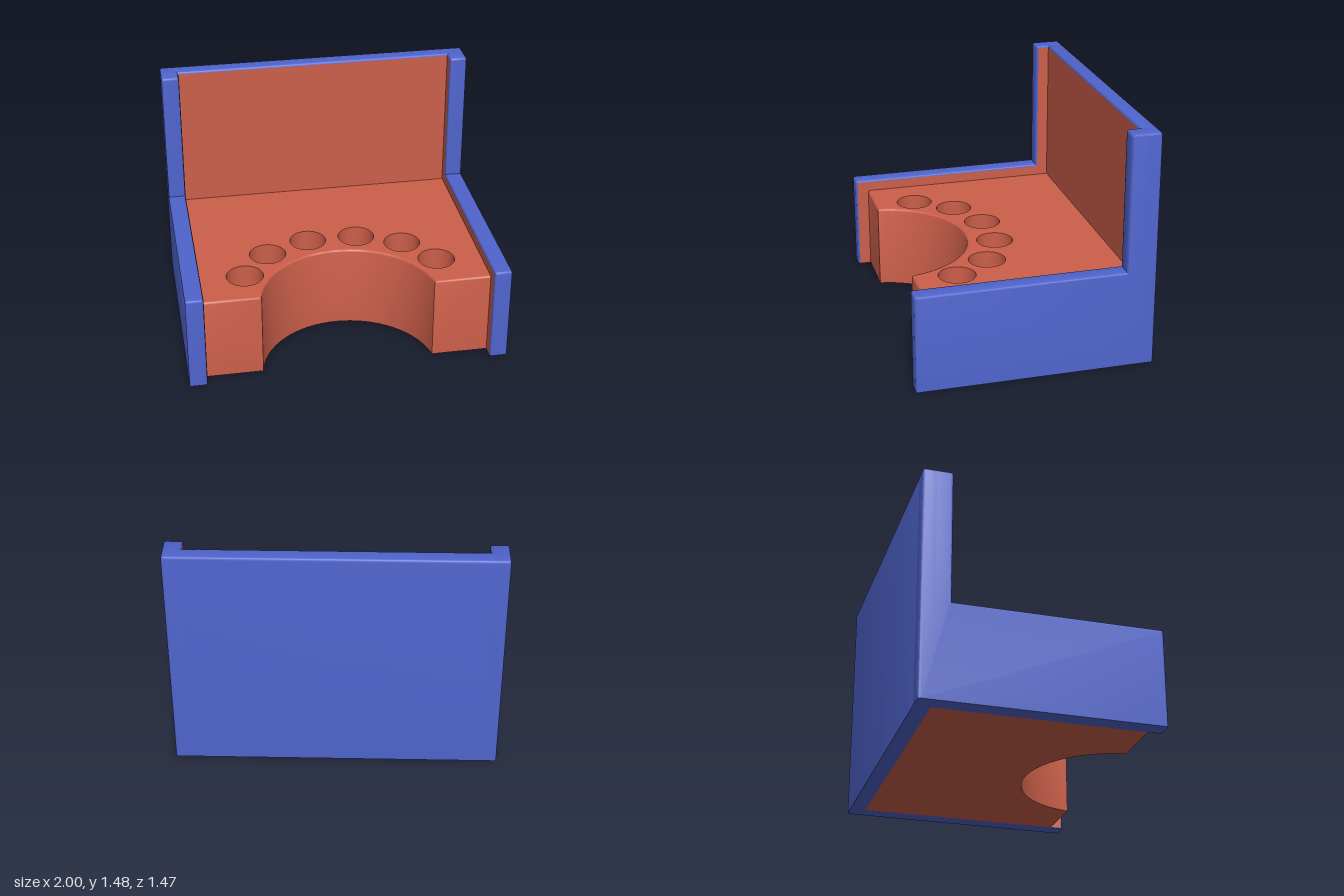
import * as THREE from 'three';
import { toCreasedNormals } from 'three/addons/utils/BufferGeometryUtils.js';

const BLUE = new THREE.MeshStandardMaterial({ color: 0x4f64cc });
const RED = new THREE.MeshStandardMaterial({ color: 0xcc5f4a });
const RED_SHEET = new THREE.MeshStandardMaterial({ color: 0xcc5f4a, side: THREE.DoubleSide });
const RED_INSIDE = new THREE.MeshStandardMaterial({ color: 0xcc5f4a, side: THREE.BackSide });

const R = 0.013; // edge rounding
const TOP = 1.475, BACK = -0.735, FRONT = 0.735, INNER = 0.89, PANEL_FRONT = -0.635;
const DESK_TOP = 0.54, DESK_FRONT = 0.65, BITE_R = 0.541;

function addMesh(parent, name, geometry, material) {
  const mesh = new THREE.Mesh(geometry, material);
  mesh.name = name;
  parent.add(mesh);
  return mesh;
}

// Closed outline with rounded convex corners (points run counter-clockwise)
function roundedShape(points, radius) {
  const shape = new THREE.Shape();
  const v = points.map(([x, y]) => new THREE.Vector2(x, y));
  v.forEach((p, i) => {
    const a = v[(i + v.length - 1) % v.length], b = v[(i + 1) % v.length];
    const r = p.clone().sub(a).cross(b.clone().sub(p)) > 0 ? radius : 0;
    const s = p.clone().add(a.clone().sub(p).setLength(r));
    const e = p.clone().add(b.clone().sub(p).setLength(r));
    if (i === 0) shape.moveTo(s.x, s.y); else shape.lineTo(s.x, s.y);
    if (r) shape.quadraticCurveTo(p.x, p.y, e.x, e.y);
  });
  shape.closePath();
  return shape;
}

// Side profile (z, y) extruded along x, rounded on all edges but the flat base
function panel(points, width) {
  const geo = new THREE.ExtrudeGeometry(roundedShape(points, R * 1.4), {
    depth: width - 2 * R, bevelSize: R, bevelThickness: R, bevelOffset: -R,
    bevelSegments: 3, curveSegments: 4,
  });
  geo.translate(0, 0, R - width / 2);
  const pos = geo.attributes.position;
  for (let i = 0; i < pos.count; i++) pos.setY(i, Math.max(0, pos.getY(i)));
  geo.rotateY(-Math.PI / 2);
  return toCreasedNormals(geo, 0.6);
}

// Desk plan in (x, -z), with its front edge and round cut-out set back by d
function deskOutline(d) {
  const front = d - DESK_FRONT, r = BITE_R + d, cy = -0.731;
  const a = Math.asin((front - cy) / r), n = 32;
  const pts = [new THREE.Vector2(-INNER, front)];
  for (let i = 0; i <= n; i++) {
    const t = Math.PI - a - (Math.PI - 2 * a) * i / n;
    pts.push(new THREE.Vector2(r * Math.cos(t), cy + r * Math.sin(t)));
  }
  pts.push(new THREE.Vector2(INNER, front), new THREE.Vector2(INNER, -PANEL_FRONT),
    new THREE.Vector2(-INNER, -PANEL_FRONT));
  return pts;
}

function deskSides() {
  const rings = [{ d: 0, y: 0 }];
  for (let i = 0; i <= 3; i++) {
    const t = i / 3 * Math.PI / 2;
    rings.push({ d: R * (1 - Math.cos(t)), y: DESK_TOP - R + R * Math.sin(t) });
  }
  const pos = [], idx = [];
  const n = deskOutline(0).length;
  rings.forEach(({ d, y }) => deskOutline(d).forEach(p => pos.push(p.x, y, -p.y)));
  for (let k = 0; k < rings.length - 1; k++) {
    for (let i = 0; i < n; i++) {
      const j = (i + 1) % n, a = k * n, b = a + n;
      idx.push(a + i, a + j, b + j, a + i, b + j, b + i);
    }
  }
  const geo = new THREE.BufferGeometry();
  geo.setAttribute('position', new THREE.Float32BufferAttribute(pos, 3));
  geo.setIndex(idx);
  return toCreasedNormals(geo, 0.6);
}

export function createModel() {
  const model = new THREE.Group();
  model.name = 'deskStation';

  // Blue shell: stepped side walls and tall back panel
  const wallProfile = (inset, base) => [
    [BACK + inset, base], [FRONT - inset, base], [FRONT - inset, 0.615 - inset],
    [-0.55 - inset, 0.615 - inset], [-0.55 - inset, TOP - inset], [BACK + inset, TOP - inset],
  ];
  for (const [side, name] of [[1, 'left'], [-1, 'right']]) {
    addMesh(model, name + 'Wall', panel(wallProfile(0, -0.06), 1 - INNER), BLUE)
      .position.x = side * (1 + INNER) / 2;
    // Red lining on the inner face
    const lining = new THREE.ShapeGeometry(roundedShape(wallProfile(R, 0), 0));
    lining.rotateY(-Math.PI / 2);
    addMesh(model, name + 'WallLining', lining, RED_SHEET).position.x = side * (INNER - 0.002);
  }
  addMesh(model, 'backPanel',
    panel([[BACK, -0.06], [PANEL_FRONT, -0.06], [PANEL_FRONT, TOP], [BACK, TOP]], 2), BLUE);
  const backLining = new THREE.PlaneGeometry(2 * INNER, TOP - R);
  addMesh(model, 'backLining', backLining, RED_SHEET)
    .position.set(0, (TOP - R) / 2, PANEL_FRONT + 0.002);

  // Red desk with a round cut-out and six cup holes
  const desk = new THREE.Group();
  desk.name = 'desk';
  model.add(desk);
  const holeR = 0.115, holeDepth = 0.3;
  const topShape = new THREE.Shape(deskOutline(R));
  for (const side of [-1, 1]) {
    for (const [x, z] of [[0.157, 0.033], [0.433, 0.157], [0.605, 0.388]]) {
      topShape.holes.push(new THREE.Path().absarc(side * x, -z, holeR, 0, Math.PI * 2, true));
      const wall = new THREE.CylinderGeometry(holeR, holeR, holeDepth, 48, 1, true);
      addMesh(desk, 'cupHoleWall', wall, RED_INSIDE)
        .position.set(side * x, DESK_TOP - holeDepth / 2, z);
      const floor = new THREE.CircleGeometry(holeR, 48).rotateX(-Math.PI / 2);
      addMesh(desk, 'cupHoleFloor', floor, RED)
        .position.set(side * x, DESK_TOP - holeDepth, z);
    }
  }
  const top = new THREE.ShapeGeometry(topShape, 24).rotateX(-Math.PI / 2);
  addMesh(desk, 'deskTop', top, RED).position.y = DESK_TOP;
  addMesh(desk, 'deskSides', deskSides(), RED);
  const base = new THREE.ShapeGeometry(new THREE.Shape(deskOutline(0))).rotateX(-Math.PI / 2);
  addMesh(desk, 'deskBase', base, RED_SHEET);

  return model;
}
